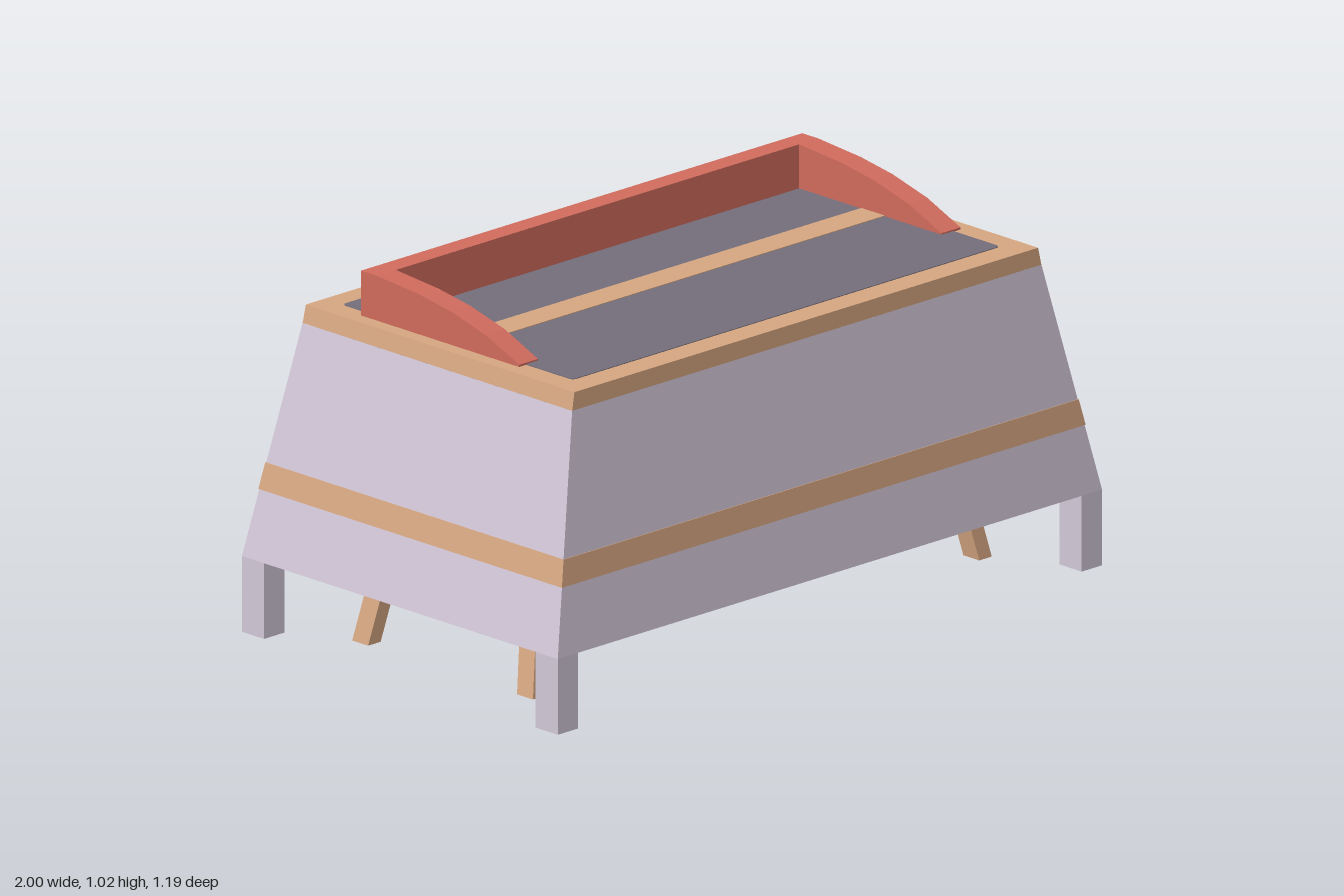
import * as THREE from 'three';

const mat = (name, color, side = THREE.FrontSide) => {
  const m = new THREE.MeshStandardMaterial({ color, side });
  m.name = name;
  return m;
};

// Skin rectangular rings [halfX, halfZ, y, centreX, centreZ], outward when rising
function loft(rings) {
  const corner = ([hx, hz, y, cx = 0, cz = 0], i) => {
    const [sx, sz] = [[1, 1], [1, -1], [-1, -1], [-1, 1]][i % 4];
    return [cx + sx * hx, y, cz + sz * hz];
  };
  const pos = [];
  for (let r = 0; r < rings.length - 1; r++) {
    for (let i = 0; i < 4; i++) {
      const a = corner(rings[r], i), b = corner(rings[r], i + 1);
      const c = corner(rings[r + 1], i), d = corner(rings[r + 1], i + 1);
      pos.push(...a, ...b, ...d, ...a, ...d, ...c);
    }
  }
  const g = new THREE.BufferGeometry();
  g.setAttribute('position', new THREE.Float32BufferAttribute(pos, 3));
  g.computeVertexNormals();
  return g;
}

export function createModel() {
  const group = new THREE.Group();
  const cloth = mat('lavender', 0xd2c7d8);
  const wood = mat('wood', 0xd6a681);
  const red = mat('red', 0xd06b5d);
  const grey = mat('dark grey', 0x736d79);
  const cushionMat = mat('cushion lavender', 0xd2c7d8, THREE.DoubleSide);

  const add = (name, geometry, material, x = 0, y = 0, z = 0) => {
    const m = new THREE.Mesh(geometry, material);
    m.name = name;
    m.position.set(x, y, z);
    group.add(m);
    return m;
  };
  const box = (name, material, x0, x1, y0, y1, z0, z1) => add(name,
    new THREE.BoxGeometry(x1 - x0, y1 - y0, z1 - z0), material,
    (x0 + x1) / 2, (y0 + y1) / 2, (z0 + z1) / 2);

  // Tapering hollow skirt
  const wall = (y, out = 0) => [1 - 0.217 * (y - 0.21) + out, 0.594 - 0.137 * (y - 0.21) + out, y];
  add('skirt', loft([wall(0.845, -0.06), wall(0.21, -0.06), wall(0.21), wall(0.845)]), cloth);

  // Band around the skirt
  add('skirtBand', loft([wall(0.393, -0.002), wall(0.393, 0.002), wall(0.465, 0.002), wall(0.465, -0.002)]), wood);

  // Table top with dark inlay and a centre strip
  add('tableTop', loft([[0, 0, 0.845], [0.862, 0.507, 0.845], [0.852, 0.505, 0.894], [0, 0, 0.894]]), wood);
  const w = 0.785, h = 0.433, r = 0.015;
  const inlay = new THREE.Shape();
  inlay.moveTo(-w + r, -h);
  inlay.lineTo(w - r, -h).quadraticCurveTo(w, -h, w, -h + r);
  inlay.lineTo(w, h - r).quadraticCurveTo(w, h, w - r, h);
  inlay.lineTo(-w + r, h).quadraticCurveTo(-w, h, -w, h - r);
  inlay.lineTo(-w, -h + r).quadraticCurveTo(-w, -h, -w + r, -h);
  const inlayGeo = new THREE.ExtrudeGeometry(inlay, { depth: 0.003, bevelEnabled: false });
  inlayGeo.rotateX(-Math.PI / 2);
  add('topInlay', inlayGeo, grey, 0, 0.893, -0.003);
  box('centreStrip', wood, -w, w, 0.894, 0.898, -0.046, 0.042);

  // Raised rail: back bar and two curved arms
  box('backRail', red, -0.81, 0.81, 0.893, 1.018, -0.34, -0.28);
  const arm = new THREE.Shape([
    [-0.34, 0.893], [0.255, 0.893], [0.255, 0.9], [0.13, 0.952], [0, 0.986],
    [-0.12, 1.005], [-0.28, 1.018], [-0.34, 1.018],
  ].map(([z, y]) => new THREE.Vector2(-z, y)));
  const armGeo = new THREE.ExtrudeGeometry(arm, { depth: 0.07, bevelEnabled: false });
  armGeo.rotateY(Math.PI / 2);
  add('leftArm', armGeo, red, 0.741);
  add('rightArm', armGeo, red, -0.811);

  // Inner board under the skirt
  box('innerBoard', red, -0.81, 0.81, 0.25, 0.38, -0.33, 0.33);

  // Corner feet and splayed inner legs
  for (const sx of [-1, 1]) {
    for (const sz of [-1, 1]) {
      add('cornerFoot', new THREE.BoxGeometry(0.075, 0.21, 0.083), cloth, sx * 0.9625, 0.105, sz * 0.5525);
      add('innerLeg', loft([
        [0, 0, 0, sx * 0.82, sz * 0.31],
        [0.023, 0.03, 0, sx * 0.82, sz * 0.31],
        [0.023, 0.03, 0.26, sx * 0.766, sz * 0.271],
      ]), wood);
    }
  }

  // Pinched cushion hanging below the board
  const cushion = new THREE.PlaneGeometry(2, 1, 24, 16);
  const p = cushion.attributes.position;
  for (let i = 0; i < p.count; i++) {
    const u = p.getX(i), v = p.getY(i) - 0.5;
    const puff = Math.max(0, (1 - u * u) * (1 - v * v));
    p.setXYZ(i,
      0.23 * u * (1 - 0.17 * (1 - v * v)),
      0.252 + 0.237 * v * (1 - 0.17 * (1 - u * u)),
      0.088 * Math.pow(puff, 0.45));
  }
  cushion.computeVertexNormals();
  add('cushionFront', cushion, cushionMat);
  add('cushionBack', cushion, cushionMat).rotation.y = Math.PI;

  return group;
}
